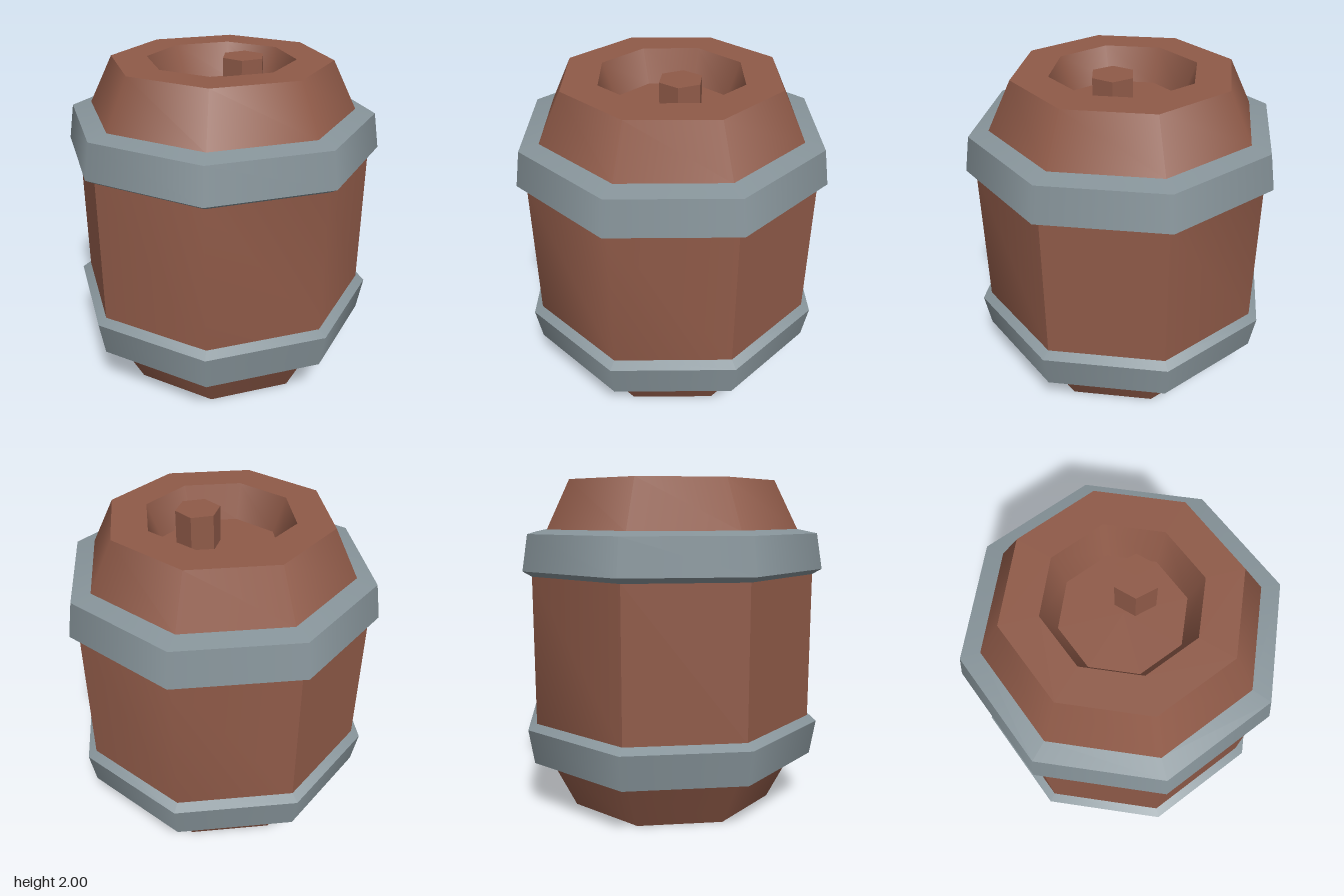
import * as THREE from 'three';
import { mergeGeometries } from 'three/addons/utils/BufferGeometryUtils.js';

const SIDES = 8;
const MID = 1; // mirror plane height

// Octagonal ring surface: smooth around, sharp between profile points [radius, y]
function facetedLathe(profile) {
  const rings = [];
  for (let i = 0; i < profile.length - 1; i++) {
    const pair = [profile[i], profile[i + 1]].map(([r, y]) => new THREE.Vector2(r, y));
    rings.push(new THREE.LatheGeometry(pair, SIDES));
  }
  return mergeGeometries(rings);
}

// Same profile flipped top to bottom, reversed so faces still point outward
const mirrored = (profile) => profile.map(([r, y]) => [r, 2 * MID - y]).reverse();

export function createModel() {
  const model = new THREE.Group();
  model.name = 'barrel';
  const wood = new THREE.MeshStandardMaterial({ color: 0x8f5a48 });
  wood.name = 'wood';
  const metal = new THREE.MeshStandardMaterial({ color: 0x87949a });
  metal.name = 'metal';

  const add = (name, geometry, material) => {
    const mesh = new THREE.Mesh(geometry, material);
    mesh.name = name;
    model.add(mesh);
    return mesh;
  };

  // Tapered ends with a recessed lid
  const end = [[0.8, 1.695], [0.655, 1.985], [0.44, 1.985], [0.36, 1.785], [0, 1.785]];
  add('topEnd', facetedLathe(end), wood);
  add('bottomEnd', facetedLathe(mirrored(end).map(([r, y]) => [r, y - 0.015])), wood);

  // Metal hoops
  const hoop = [[0.89, 1.43], [0.95, 1.465], [0.915, 1.675], [0.795, 1.7]];
  add('upperHoop', facetedLathe(hoop), metal);
  add('lowerHoop', facetedLathe(mirrored(hoop).map(([r, y]) => [r, y - 0.01])), metal);

  // Middle wall: smooth runs of staves [start corner, panel count] with creases between
  const wallProfile = [new THREE.Vector2(0.895, 0.55), new THREE.Vector2(0.895, 1.44)];
  const corner = (Math.PI * 2) / SIDES;
  const runs = [[-1, 3], [2, 1], [3, 2], [5, 1], [6, 1]].map(([start, count]) => {
    const run = new THREE.LatheGeometry(wallProfile, count, start * corner, count * corner);
    run.computeVertexNormals();
    return run;
  });
  add('wall', mergeGeometries(runs), wood);

  // Hexagonal bung standing on the lid
  const bung = new THREE.CylinderGeometry(0.13, 0.13, 0.215, 6).toNonIndexed();
  bung.computeVertexNormals();
  add('bung', bung, wood).position.set(0.13, 1.8925, 0);

  return model;
}
